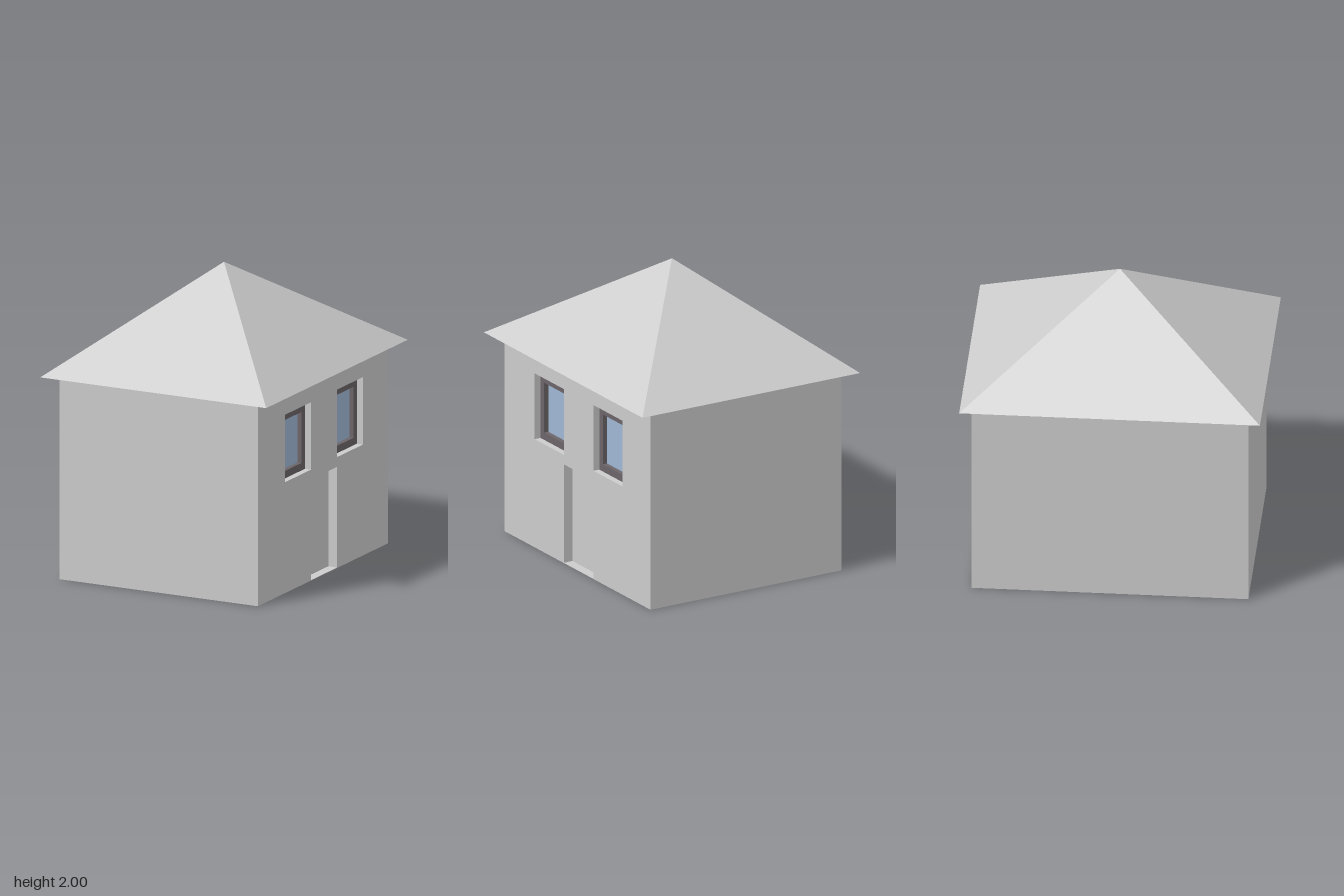
import * as THREE from 'three';

const WALL = { x0: -0.73, x1: 0.72, z0: -0.9, z1: 0.89, h: 1.343 };
const ROOF = { halfX: 0.825, halfZ: 0.973, base: 1.354, top: 2 };
// Openings in the +x wall
const DOOR = { z0: -0.2, z1: 0.16, y0: 0.003, y1: 0.675, depth: 0.065 };
const WINDOWS = [
  { name: 'frontWindow', z0: 0.16, z1: 0.52, y0: 0.74, y1: 1.19, depth: 0.08 },
  { name: 'backWindow', z0: -0.555, z1: -0.2, y0: 0.74, y1: 1.19, depth: 0.08 },
];

const material = (color, side = THREE.FrontSide) =>
  new THREE.MeshStandardMaterial({ color, side, flatShading: true });

function mesh(name, geometry, mat) {
  const m = new THREE.Mesh(geometry, mat);
  m.name = name;
  return m;
}

// Rectangle in wall coordinates: shape x is -z, shape y is y
function rectangle(path, z0, z1, y0, y1) {
  path.moveTo(-z1, y0);
  path.lineTo(-z0, y0);
  path.lineTo(-z0, y1);
  path.lineTo(-z1, y1);
  path.closePath();
  return path;
}

// Box whose +x side is left open
function openBox(x0, x1, y0, y1, z0, z1) {
  const g = new THREE.BoxGeometry(x1 - x0, y1 - y0, z1 - z0);
  g.translate((x0 + x1) / 2, (y0 + y1) / 2, (z0 + z1) / 2);
  g.setIndex(Array.from(g.index.array).slice(6));
  g.clearGroups();
  return g;
}

const recess = (o) => openBox(WALL.x1 - o.depth, WALL.x1, o.y0, o.y1, o.z0, o.z1);

export function createModel() {
  const house = new THREE.Group();
  house.name = 'house';
  const grey = material(0xcccccc);
  const greyInside = material(0xcccccc, THREE.BackSide);
  const frameMat = material(0x6c6569);
  const glassMat = material(0x9fb8d4);

  // Walls, with the pierced wall as a separate sheet
  house.add(mesh('walls', openBox(WALL.x0, WALL.x1, 0, WALL.h, WALL.z0, WALL.z1), grey));
  const sheet = rectangle(new THREE.Shape(), WALL.z0, WALL.z1, 0, WALL.h);
  for (const o of [DOOR, ...WINDOWS])
    sheet.holes.push(rectangle(new THREE.Path(), o.z0, o.z1, o.y0, o.y1));
  const entrance = new THREE.ShapeGeometry(sheet).rotateY(Math.PI / 2).translate(WALL.x1, 0, 0);
  house.add(mesh('entranceWall', entrance, grey));

  // Recessed doorway
  house.add(mesh('doorway', recess(DOOR), greyInside));

  // Recessed windows: reveal, dark frame and glass
  for (const w of WINDOWS) {
    const group = new THREE.Group();
    group.name = w.name;
    group.add(mesh('reveal', recess(w), greyInside));

    const [z0, z1, y0, y1] = [w.z0 + 0.045, w.z1 - 0.045, w.y0 + 0.05, w.y1 - 0.06];
    const outline = rectangle(new THREE.Shape(), w.z0, w.z1, w.y0, w.y1);
    outline.holes.push(rectangle(new THREE.Path(), z0, z1, y0, y1));
    const frame = new THREE.ExtrudeGeometry(outline, { depth: 0.035, bevelEnabled: false });
    frame.rotateY(Math.PI / 2).translate(WALL.x1 - w.depth, 0, 0);
    group.add(mesh('frame', frame, frameMat));

    const glass = new THREE.PlaneGeometry(z1 - z0, y1 - y0).rotateY(Math.PI / 2);
    glass.translate(WALL.x1 - w.depth + 0.004, (y0 + y1) / 2, (z0 + z1) / 2);
    group.add(mesh('glass', glass, glassMat));
    house.add(group);
  }

  // Pyramid roof, floating just above the walls
  const height = ROOF.top - ROOF.base;
  const roof = new THREE.ConeGeometry(Math.SQRT2, height, 4).rotateY(Math.PI / 4);
  roof.scale(ROOF.halfX, 1, ROOF.halfZ).translate(0, ROOF.base + height / 2, 0);
  house.add(mesh('roof', roof, grey));

  return house;
}
